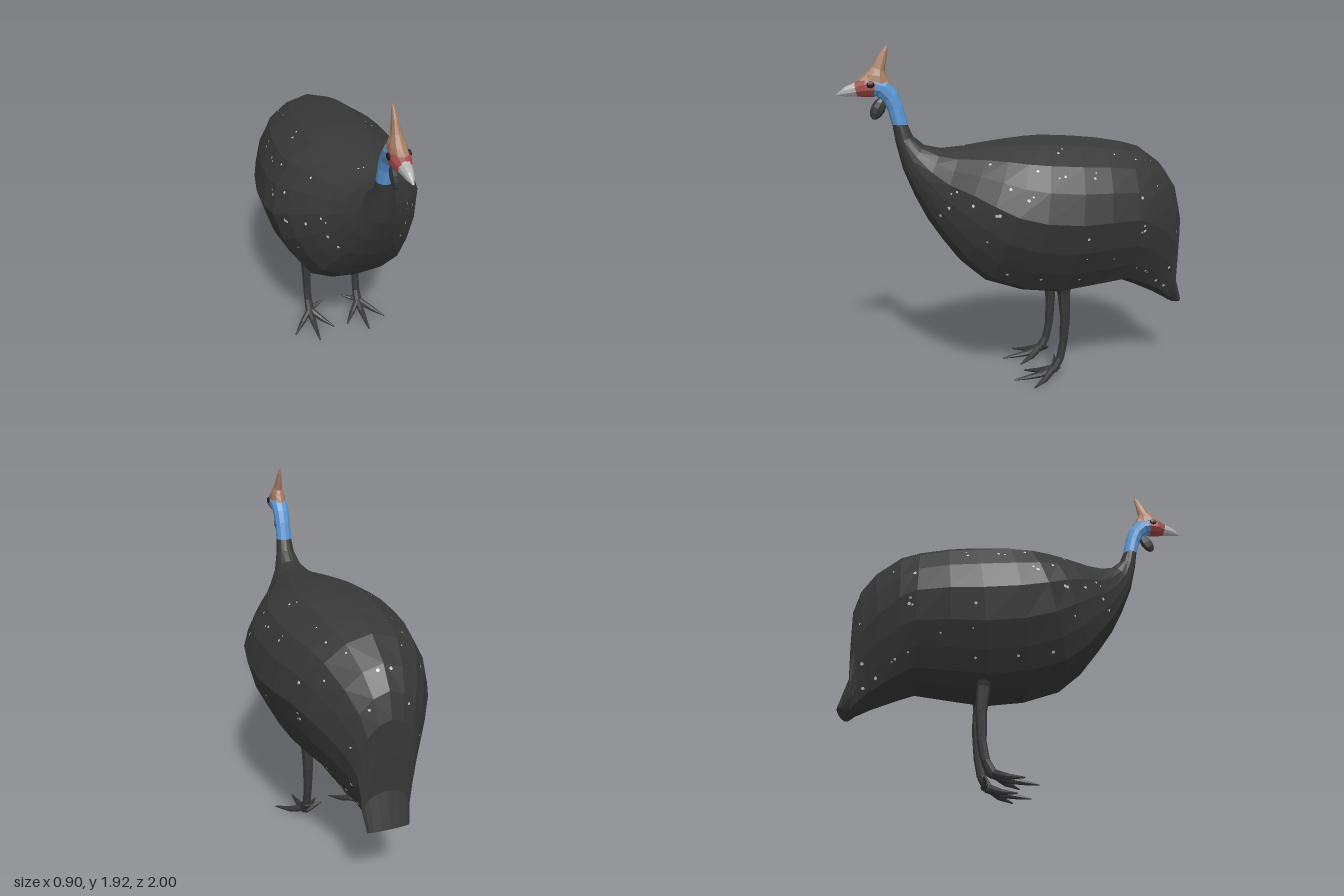
import * as THREE from 'three';
import { mergeGeometries } from 'three/addons/utils/BufferGeometryUtils.js';

const mat = (name, color) => {
  const m = new THREE.MeshStandardMaterial({ color });
  m.name = name;
  return m;
};

// Half outline of the plump body section: [width fraction, height fraction], top to bottom
const PLUMP = [[0, 1], [0.4, 0.955], [0.73, 0.85], [0.91, 0.7], [1, 0.52],
  [0.89, 0.33], [0.73, 0.18], [0.57, 0.06], [0.3, 0.01], [0, 0]];

// Closed section between a top and a bottom point [zTop, yTop, zBottom, yBottom, halfWidth]
function section([zt, yt, zb, yb, w], steps, plump) {
  const pts = [];
  for (let j = 0; j < steps * 2; j++) {
    const h = j <= steps ? j : steps * 2 - j;
    const a = (h / steps) * Math.PI;
    let u = Math.sin(a), v = 0.5 + 0.5 * Math.cos(a);
    if (plump > 0) {
      u += (PLUMP[h][0] - u) * plump;
      v += (PLUMP[h][1] - v) * plump;
    }
    pts.push(new THREE.Vector3((j <= steps ? 1 : -1) * u * w, yb + (yt - yb) * v, zb + (zt - zb) * v));
  }
  return pts;
}

// Faceted skin over a run of sections, capped at both ends
function loft(rings) {
  const pos = [], n = rings[0].length;
  const tri = (...p) => p.forEach((q) => pos.push(q.x, q.y, q.z));
  const mid = (r) => r.reduce((s, p) => s.add(p), new THREE.Vector3()).divideScalar(n);
  const first = rings[0], last = rings[rings.length - 1];
  const c0 = mid(first), c1 = mid(last);
  for (let j = 0; j < n; j++) {
    const k = (j + 1) % n;
    for (let i = 0; i + 1 < rings.length; i++) {
      const A = rings[i], B = rings[i + 1];
      tri(A[j], A[k], B[j]);
      tri(A[k], B[k], B[j]);
    }
    tri(c0, first[k], first[j]);
    tri(c1, last[j], last[k]);
  }
  const g = new THREE.BufferGeometry();
  g.setAttribute('position', new THREE.Float32BufferAttribute(pos, 3));
  g.computeVertexNormals();
  return g;
}

const flat = (g) => {
  const f = g.toNonIndexed();
  f.computeVertexNormals();
  return f;
};

// Tapered segment between two points
function segment(a, b, ra, rb) {
  const A = new THREE.Vector3(...a), B = new THREE.Vector3(...b);
  const d = B.clone().sub(A);
  const g = new THREE.CylinderGeometry(rb, ra, d.length(), 8);
  g.applyQuaternion(new THREE.Quaternion().setFromUnitVectors(new THREE.Vector3(0, 1, 0), d.normalize()));
  const c = A.add(B).multiplyScalar(0.5);
  return flat(g.translate(c.x, c.y, c.z));
}

// Chain of segments through [x, y, z, radius]
const chain = (pts) => pts.slice(1).map((p, i) => segment(pts[i].slice(0, 3), p.slice(0, 3), pts[i][3], p[3]));

export function createModel() {
  const group = new THREE.Group();
  const dark = mat('charcoal plumage', 0x383838);
  const blue = mat('blue skin', 0x5b98d6);
  const red = mat('red skin', 0xa24c4a);
  const brown = mat('brown horn', 0xa67c62);
  const grey = mat('pale beak', 0xb4b4b4);
  const white = mat('white spots', 0xc8c8c8);
  const black = mat('black eye', 0x1c1a1a);
  const add = (name, geo, m, parent = group) => {
    const mesh = new THREE.Mesh(geo, m);
    mesh.name = name;
    parent.add(mesh);
    return mesh;
  };

  // Body from the neck base to the drooping tail
  const bodyRings = [
    [0.63, 1.5, 0.71, 1.5, 0.045], [0.6, 1.43, 0.695, 1.4, 0.055],
    [0.54, 1.38, 0.66, 1.25, 0.085], [0.45, 1.36, 0.6, 1.1, 0.145],
    [0.35, 1.368, 0.53, 0.96, 0.21], [0.2, 1.39, 0.45, 0.84, 0.3],
    [0.08, 1.405, 0.36, 0.72, 0.375], [-0.02, 1.415, 0.23, 0.61, 0.43],
    [-0.12, 1.42, 0.02, 0.54, 0.45], [-0.3, 1.41, -0.2, 0.51, 0.445],
    [-0.45, 1.395, -0.4, 0.53, 0.42], [-0.6, 1.37, -0.6, 0.55, 0.375],
    [-0.71, 1.34, -0.67, 0.52, 0.335], [-0.85, 1.24, -0.76, 0.475, 0.26],
    [-0.93, 1.13, -0.83, 0.44, 0.2], [-0.965, 1.0, -0.88, 0.41, 0.16],
    [-0.958, 0.8, -0.91, 0.395, 0.14], [-0.945, 0.6, -0.925, 0.385, 0.13],
    [-1.0, 0.41, -0.94, 0.38, 0.115],
  ].map((r, i) => section(r, 9, Math.min(1, i / 8)));
  add('body', loft(bodyRings), dark);

  // Small pale flecks lying on the plumage, mirrored to both sides
  let seed = 7;
  const rand = () => (seed = (seed * 16807) % 2147483647) / 2147483647;
  const flecks = [];
  for (let s = 0; s < 45; s++) {
    const i = 4 + Math.floor(rand() * 11), j = Math.floor(rand() * 7);
    const a = bodyRings[i][j], b = bodyRings[i][j + 1], c = bodyRings[i + 1][j];
    const e1 = b.clone().sub(a), e2 = c.clone().sub(a);
    const normal = e1.clone().cross(e2).normalize();
    const p = a.clone().addScaledVector(e1, 0.15 + rand() * 0.35)
      .addScaledVector(e2, 0.15 + rand() * 0.3).addScaledVector(normal, 0.003);
    const r = 0.005 + rand() * 0.006;
    for (const side of [1, -1]) {
      const g = new THREE.CircleGeometry(r, 5);
      const nn = new THREE.Vector3(normal.x * side, normal.y, normal.z);
      g.applyQuaternion(new THREE.Quaternion().setFromUnitVectors(new THREE.Vector3(0, 0, 1), nn));
      flecks.push(g.translate(p.x * side, p.y, p.z));
    }
  }
  add('spots', mergeGeometries(flecks), white);

  // Head and neck, run from the beak tip back
  const tube = (list) => loft(list.map((r) => section(r, 5, 0)));
  add('beak', tube([[1.0, 1.66, 0.995, 1.655, 0.004], [0.955, 1.7, 0.95, 1.65, 0.021],
    [0.89, 1.727, 0.885, 1.65, 0.036]]), grey);
  add('face', tube([[0.905, 1.72, 0.89, 1.65, 0.035], [0.85, 1.75, 0.85, 1.645, 0.05],
    [0.79, 1.757, 0.805, 1.645, 0.053]]), red);
  add('neck', tube([[0.79, 1.755, 0.805, 1.645, 0.052], [0.72, 1.73, 0.79, 1.65, 0.051],
    [0.675, 1.67, 0.755, 1.62, 0.048], [0.65, 1.6, 0.73, 1.57, 0.046],
    [0.625, 1.495, 0.712, 1.495, 0.047]]), blue);

  // Horn on the crown, sections from base to tip
  add('horn', tube([[0.89, 1.735, 0.7, 1.71, 0.045], [0.85, 1.768, 0.725, 1.75, 0.04],
    [0.81, 1.805, 0.74, 1.78, 0.026], [0.778, 1.86, 0.728, 1.85, 0.016],
    [0.755, 1.89, 0.722, 1.885, 0.011], [0.727, 1.917, 0.722, 1.917, 0.003]]), brown);

  // Throat wattle
  const wattle = new THREE.SphereGeometry(1, 8, 6).scale(0.024, 0.065, 0.038).rotateX(-0.5);
  add('wattle', flat(wattle.translate(0, 1.583, 0.782)), dark);

  for (const side of [1, -1]) {
    const name = side > 0 ? 'left' : 'right';
    // Eye
    const eye = new THREE.SphereGeometry(1, 8, 6).scale(0.008, 0.018, 0.021);
    add(name + 'Eye', flat(eye.translate(side * 0.05, 1.712, 0.82)), black);

    // Leg with three front toes and a short inner toe
    const x = side * 0.165, inner = -side;
    const parts = [
      ...chain([[x, 0.62, -0.22, 0.07], [x, 0.52, -0.226, 0.038], [x, 0.38, -0.236, 0.031],
        [x, 0.22, -0.228, 0.025], [x, 0.12, -0.208, 0.025], [x, 0.055, -0.17, 0.028]]),
      ...chain([[x, 0.06, -0.18, 0.027], [x, 0.026, -0.09, 0.02], [x, 0.013, 0, 0.012], [x, 0.006, 0.07, 0.004]]),
      ...chain([[x, 0.06, -0.17, 0.022], [x + inner * 0.06, 0.025, -0.1, 0.017], [x + inner * 0.12, 0.008, -0.02, 0.004]]),
      ...chain([[x, 0.06, -0.17, 0.022], [x - inner * 0.07, 0.025, -0.1, 0.017], [x - inner * 0.135, 0.008, -0.02, 0.004]]),
      ...chain([[x, 0.06, -0.19, 0.022], [x + inner * 0.05, 0.075, -0.19, 0.014], [x + inner * 0.1, 0.1, -0.2, 0.003]]),
    ];
    add(name + 'Leg', mergeGeometries(parts), dark);
  }
  return group;
}
